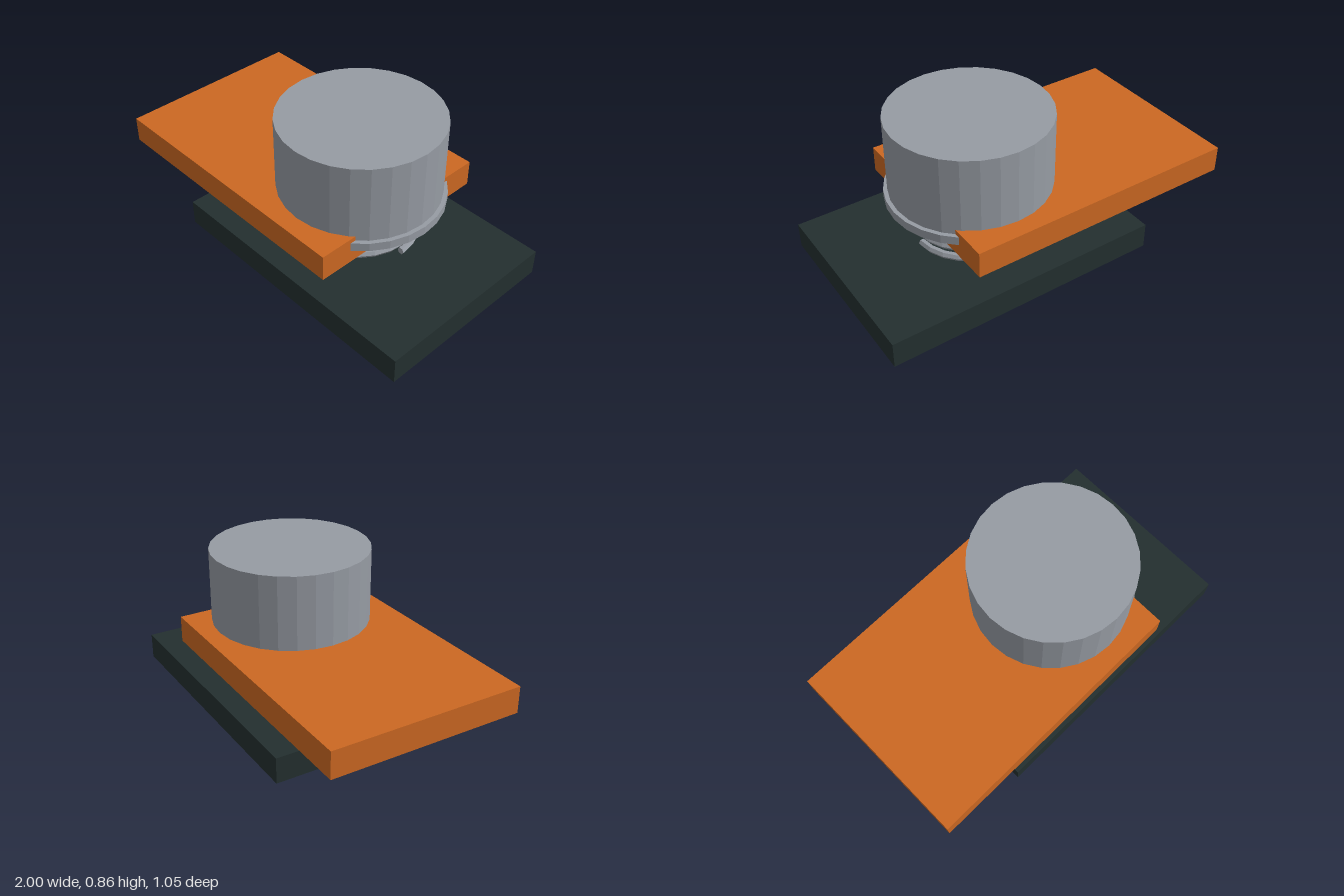
import * as THREE from 'three';

const orange = new THREE.MeshStandardMaterial({ color: 0xcc6822 });
orange.name = 'orange';
const steel = new THREE.MeshStandardMaterial({ color: 0x969ba3 });
steel.name = 'steel grey';
const dark = new THREE.MeshStandardMaterial({ color: 0x232f2f });
dark.name = 'dark slate';

const AXIS_X = 0.235; // shared axis of drum, post and spring

// Give every face its own flat normal
function faceted(geometry) {
  const flat = geometry.toNonIndexed();
  flat.computeVertexNormals();
  return flat;
}

function part(name, geometry, material, x = 0, y = 0, z = 0) {
  const mesh = new THREE.Mesh(faceted(geometry), material);
  mesh.name = name;
  mesh.position.set(x, y, z);
  return mesh;
}

// Box and cylinder placed by their bottom and top heights
function slab(name, x0, x1, y0, y1, depth, material) {
  return part(name, new THREE.BoxGeometry(x1 - x0, y1 - y0, depth), material, (x0 + x1) / 2, (y0 + y1) / 2);
}

function disc(name, radius, y0, y1, sides) {
  return part(name, new THREE.CylinderGeometry(radius, radius, y1 - y0, sides), steel, AXIS_X, (y0 + y1) / 2);
}

// Coil spring: a ring of several turns, lifted along its angle
function spring() {
  const turns = 3, pitch = 0.065, radius = 0.305, wire = 0.02, startY = 0.17;
  const coil = new THREE.TorusGeometry(radius, wire, 6, 24 * turns, Math.PI * 2 * turns);
  coil.rotateX(-Math.PI / 2);
  const pos = coil.attributes.position, uv = coil.attributes.uv;
  for (let i = 0; i < pos.count; i++) {
    pos.setY(i, pos.getY(i) + uv.getX(i) * turns * pitch);
  }
  const group = new THREE.Group();
  group.name = 'spring';
  group.position.set(AXIS_X, startY, 0);
  group.add(part('springCoil', coil, steel));
  // Caps on the two wire ends
  const startCap = new THREE.CircleGeometry(wire, 6);
  const endCap = startCap.clone().rotateY(Math.PI);
  group.add(part('springStartCap', startCap, steel, radius, 0, 0));
  group.add(part('springEndCap', endCap, steel, radius, turns * pitch, 0));
  return group;
}

export function createModel() {
  const model = new THREE.Group();
  model.name = 'springButton';

  // Plates
  model.add(slab('basePlate', -0.523, 1, 0, 0.143, 1.046, dark));
  model.add(slab('upperPlate', -1, 0.523, 0.311, 0.455, 1.046, orange));

  // Button drum with its retaining flange, and the guide post below
  model.add(disc('buttonDrum', 0.428, 0.43, 0.858, 28));
  model.add(disc('buttonFlange', 0.45, 0.383, 0.43, 28));
  model.add(disc('guidePost', 0.095, 0.1, 0.4, 20));

  model.add(spring());
  return model;
}
